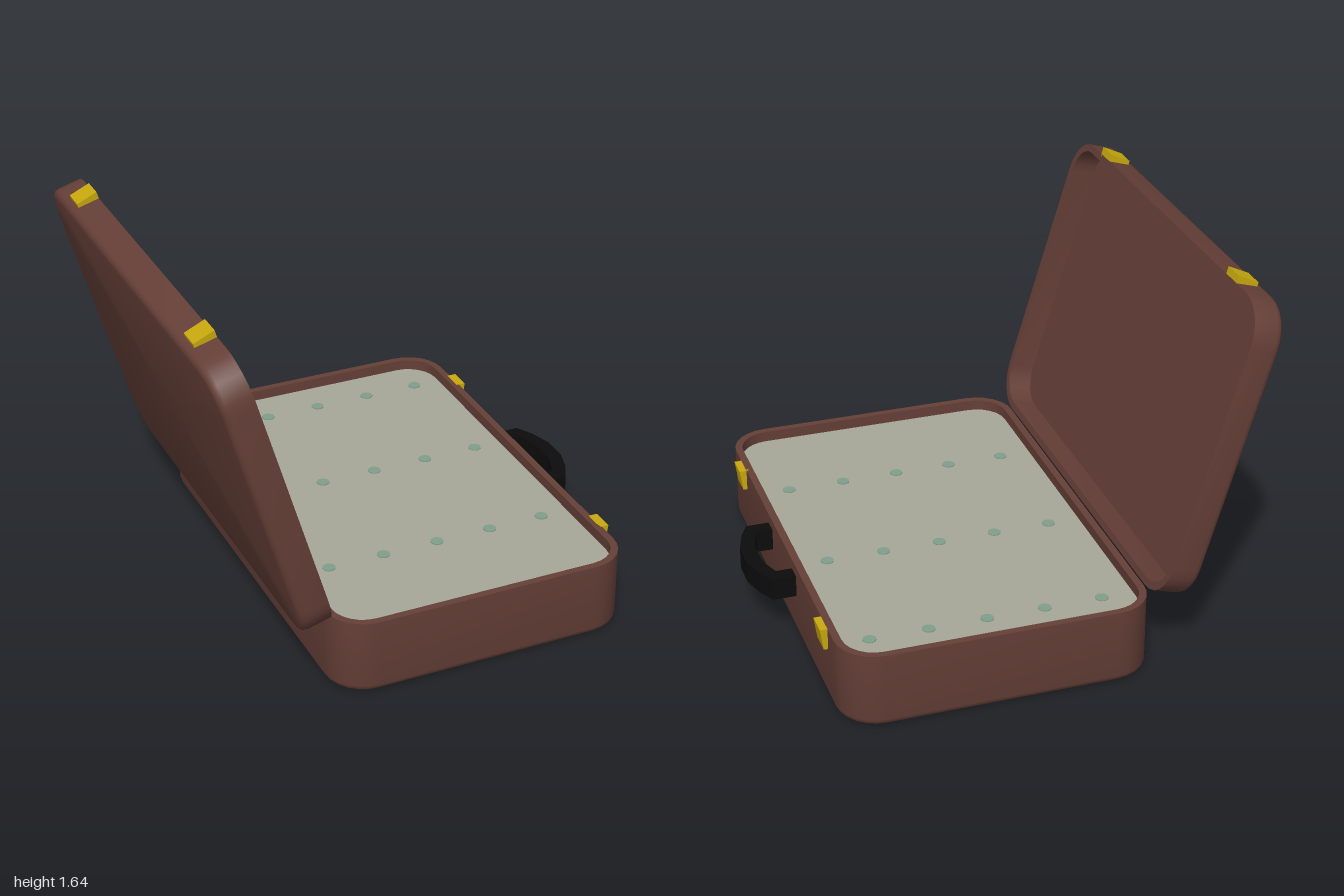
import * as THREE from 'three';
import { toCreasedNormals } from 'three/addons/utils/BufferGeometryUtils.js';

const LENGTH = 1.33, WIDTH = 2, RADIUS = 0.17, WALL = 0.032, BEVEL = 0.03;

const material = (name, color) => {
  const m = new THREE.MeshStandardMaterial({ color });
  m.name = name;
  return m;
};

// Rounded-rectangle ring at a given inset and height; inset null collapses to the centre
function ring(inset, y) {
  const points = [], steps = 6;
  for (let corner = 0; corner < 4; corner++) {
    const sx = corner === 0 || corner === 3 ? 1 : -1, sz = corner < 2 ? 1 : -1;
    for (let i = 0; i <= steps; i++) {
      const a = (corner + i / steps) * Math.PI / 2, r = RADIUS - inset;
      points.push(inset === null ? [0, y, 0] : [
        sx * (LENGTH / 2 - RADIUS) + r * Math.cos(a), y,
        sz * (WIDTH / 2 - RADIUS) + r * Math.sin(a)]);
    }
  }
  return points;
}

// Skins a list of [inset, y] rings
function loft(profile) {
  const rings = profile.map(([inset, y]) => ring(inset, y)), pos = [];
  for (let j = 0; j + 1 < rings.length; j++) {
    const lower = rings[j], upper = rings[j + 1], n = lower.length;
    for (let i = 0; i < n; i++) {
      const k = (i + 1) % n;
      if (profile[j + 1][0] !== null) pos.push(...lower[i], ...upper[i], ...upper[k]);
      else pos.push(...lower[i], ...upper[i], ...lower[k]);
      if (profile[j][0] !== null && profile[j + 1][0] !== null)
        pos.push(...lower[i], ...upper[k], ...lower[k]);
    }
  }
  const g = new THREE.BufferGeometry();
  g.setAttribute('position', new THREE.Float32BufferAttribute(pos, 3));
  return toCreasedNormals(g, 0.6);
}

// Open tray: closed underside, rounded lower edge, flat rim, inner wall and floor
function trayGeometry(height, floor) {
  const profile = [[null, 0]];
  for (let i = 0; i <= 3; i++) {
    const a = i / 3 * Math.PI / 2;
    profile.push([BEVEL * (1 - Math.sin(a)), BEVEL * (1 - Math.cos(a))]);
  }
  profile.push([0, height], [WALL, height], [WALL, floor], [null, floor]);
  return loft(profile);
}

function extrude(points, depth) {
  const shape = new THREE.Shape(points.map(([x, y]) => new THREE.Vector2(x, y)));
  return new THREE.ExtrudeGeometry(shape, { depth, bevelEnabled: false });
}

export function createModel() {
  const leather = material('brown leather', 0x653f37);
  const brass = material('brass', 0xc8a80e);
  const black = material('black grip', 0x0c0c0c);
  const lining = material('grey lining', 0xa6a698);
  const green = material('green studs', 0x7f9f8b);

  const model = new THREE.Group();
  model.name = 'openSuitcase';
  const add = (parent, name, geometry, mat) => {
    const mesh = new THREE.Mesh(geometry, mat);
    mesh.name = name;
    parent.add(mesh);
    return mesh;
  };

  // Wedge-shaped latches hanging from the rim, thicker at the rim
  const addLatches = (parent, side, height) => {
    for (const z of [-0.69, 0.685]) {
      const profile = [[-0.01, -0.095], [0.018, -0.095], [0.032, 0], [-0.01, 0]];
      const g = extrude(profile, 0.1).translate(0, 0, -0.05);
      const latch = add(parent, 'latch', g, brass);
      latch.position.set(side * LENGTH / 2, height, z);
      if (side < 0) latch.rotation.y = Math.PI;
    }
  };

  // Base with padded lining
  const base = new THREE.Group();
  base.name = 'base';
  base.position.x = 0.165;
  model.add(base);
  add(base, 'baseShell', trayGeometry(0.333, 0.27), leather);
  add(base, 'lining', loft([[WALL, 0.285], [null, 0.285]]), lining);
  addLatches(base, 1, 0.333);

  // Studs on the lining
  for (let i = 0; i < 5; i++) {
    for (const z of [-0.795, -0.155, 0.487]) {
      const stud = add(base, 'stud', new THREE.CylinderGeometry(0.028, 0.028, 0.006, 16), green);
      stud.position.set(-0.493 + i * 0.25, 0.286, z);
    }
  }

  // Angular carrying handle, drawn in plan and extruded upwards
  const outer = [[0.82, 0.235], [0.93, 0.235], [0.97, 0.16], [1, 0.06]];
  const inner = [[0.935, 0.06], [0.925, 0.1], [0.9, 0.168], [0.82, 0.168]];
  const mirror = (list) => list.map(([x, y]) => [x, -y]).reverse();
  const outline = [...outer, ...mirror(outer), ...mirror(inner), ...inner];
  const handle = add(model, 'handle', extrude(outline, 0.097), black);
  handle.rotation.x = -Math.PI / 2;
  handle.position.y = 0.189;

  // Lid leaning back from the hinge edge
  const lid = new THREE.Group();
  lid.name = 'lid';
  lid.rotation.z = -THREE.MathUtils.degToRad(73.4);
  lid.position.set(-0.824, 0.933, 0);
  model.add(lid);
  add(lid, 'lidShell', trayGeometry(0.135, 0.025), leather);
  addLatches(lid, -1, 0.135);

  return model;
}
